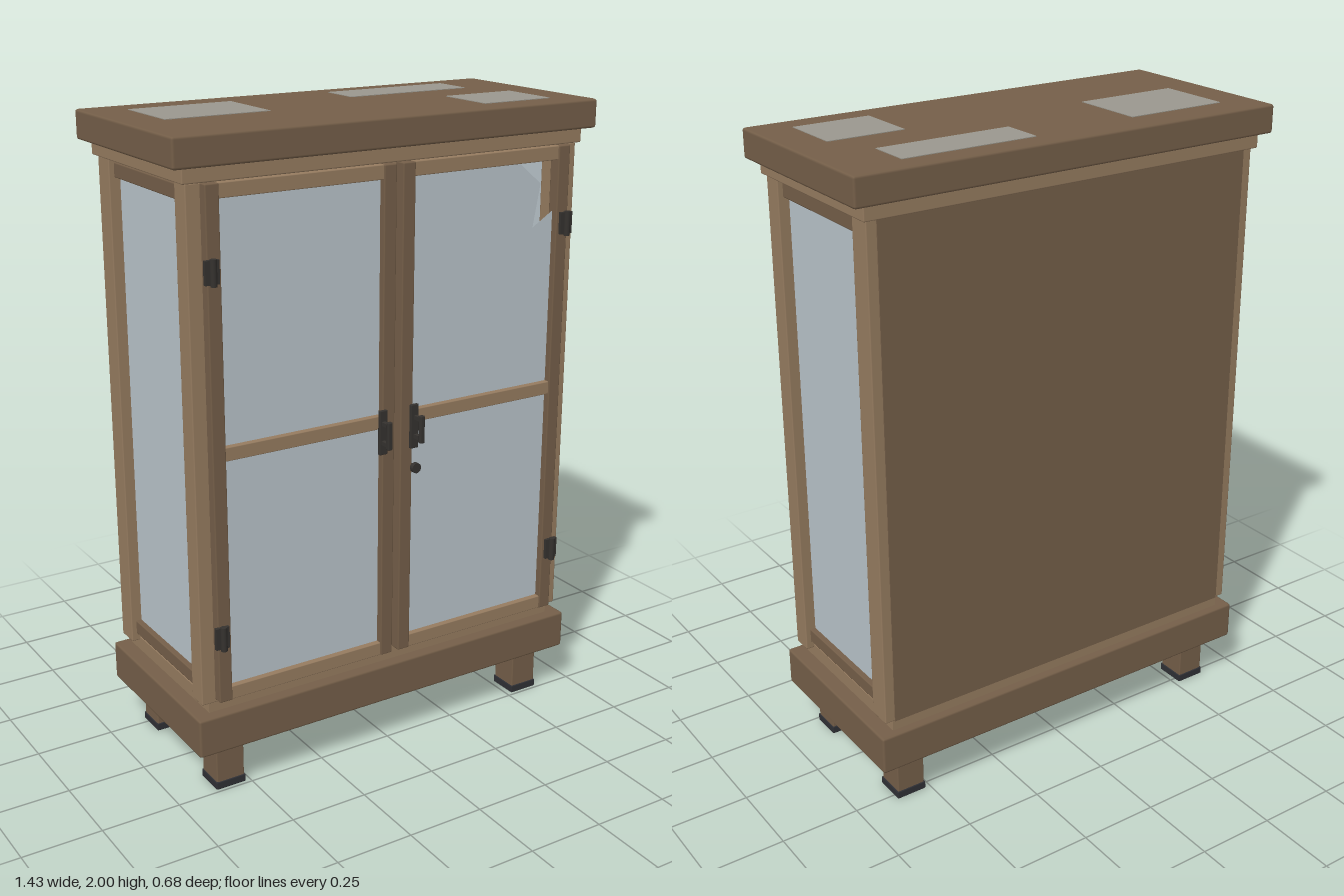
import * as THREE from 'three';
import { RoundedBoxGeometry } from 'three/addons/geometries/RoundedBoxGeometry.js';

const mat = (name, color, side = THREE.FrontSide) => {
  const m = new THREE.MeshStandardMaterial({ color, side });
  m.name = name;
  return m;
};

export function createModel() {
  const darkWood = mat('darkWood', 0x755f49);
  const lightWood = mat('lightWood', 0x967c60);
  const glass = mat('glass', 0xbac5cb, THREE.DoubleSide);
  const dust = mat('dust', 0x9b988f);
  const iron = mat('iron', 0x35322f);
  const rubber = mat('rubber', 0x2f3035);

  const cabinet = new THREE.Group();
  cabinet.name = 'displayCabinet';

  const add = (name, geometry, material, parent = cabinet) => {
    const mesh = new THREE.Mesh(geometry, material);
    mesh.name = name;
    parent.add(mesh);
    return mesh;
  };
  // Box given by its extents; a radius eases the edges
  const box = (name, material, [x0, x1], [y0, y1], [z0, z1], radius = 0, parent = cabinet) => {
    const s = [x1 - x0, y1 - y0, z1 - z0];
    const g = radius ? new RoundedBoxGeometry(...s, 1, radius) : new THREE.BoxGeometry(...s);
    g.translate((x0 + x1) / 2, (y0 + y1) / 2, (z0 + z1) / 2);
    return add(name, g, material, parent);
  };
  // x extent on one side of the cabinet
  const span = (s, a, b) => (s > 0 ? [a, b] : [-b, -a]);

  // Top, mouldings and base
  box('topSlab', darkWood, [-0.717, 0.717], [1.912, 2], [-0.34, 0.295], 0.008);
  box('corniceMoulding', lightWood, [-0.68, 0.68], [1.868, 1.912], [-0.318, 0.27], 0.004);
  box('basePlinth', darkWood, [-0.69, 0.69], [0.155, 0.28], [-0.325, 0.285], 0.008);
  box('baseMoulding', lightWood, [-0.64, 0.64], [0.28, 0.325], [-0.3, 0.25]);

  // Back panel with its paler inner lining, and the shelves
  box('backPanel', darkWood, [-0.635, 0.635], [0.315, 1.868], [-0.307, -0.285]);
  box('backLining', lightWood, [-0.6, 0.6], [0.325, 1.868], [-0.285, -0.275]);
  for (const y of [0.82, 1.34]) {
    box('shelf', lightWood, [-0.61, 0.61], [y - 0.01, y + 0.01], [-0.275, 0.2]);
  }

  // Dusty patches on the top
  for (const [x, z] of [
    [[-0.595, -0.26], [-0.235, 0.005]],
    [[0.1, 0.53], [-0.265, -0.13]],
    [[0.355, 0.6], [0.01, 0.21]],
  ]) box('dustPatch', dust, x, [1.999, 2.002], z);

  // Glass pane in the xy plane from its corner points
  const pane = (name, points, parent) => {
    const shape = new THREE.Shape(points.map(([x, y]) => new THREE.Vector2(x, y)));
    add(name, new THREE.ShapeGeometry(shape), glass, parent).position.z = 0.268;
  };

  for (const s of [-1, 1]) {
    // Corner posts
    box('frontPost', lightWood, span(s, 0.59, 0.667), [0.315, 1.868], [0.195, 0.26], 0.004);
    box('backPost', lightWood, span(s, 0.59, 0.667), [0.315, 1.868], [-0.304, -0.23], 0.004);

    // Glazed sides
    box('sideGlass', glass, span(s, 0.626, 0.632), [0.325, 1.868], [-0.235, 0.2]);
    for (const y of [[0.34, 0.385], [1.81, 1.855]]) {
      box('sideRail', darkWood, span(s, 0.61, 0.65), y, [-0.235, 0.2], 0.004);
    }

    // Legs with pads
    for (const z of [0.19, -0.225]) {
      box('leg', darkWood, span(s, 0.52, 0.614), [0.02, 0.16], [z - 0.047, z + 0.047], 0.004);
      box('footPad', rubber, span(s, 0.517, 0.617), [0, 0.025], [z - 0.05, z + 0.05], 0.003);
    }

    // Door frame
    const door = new THREE.Group();
    door.name = s > 0 ? 'leftDoor' : 'rightDoor';
    cabinet.add(door);
    box('innerStile', darkWood, span(s, 0.011, 0.054), [0.325, 1.868], [0.25, 0.29], 0.004, door);
    box('outerStile', darkWood, span(s, 0.58, 0.623), [0.325, 1.868], [0.25, 0.29], 0.004, door);
    for (const y of [[0.325, 0.368], [1.078, 1.12], [1.825, 1.868]]) {
      box('doorRail', lightWood, span(s, 0.05, 0.585), y, [0.252, 0.286], 0.003, door);
    }

    // Door panes, one with a broken corner
    const [x0, x1] = span(s, 0.05, 0.585);
    pane('lowerPane', [[x0, 0.36], [x1, 0.36], [x1, 1.09], [x0, 1.09]], door);
    const corner = s > 0
      ? [[x1, 1.67], [0.505, 1.622], [0.53, 1.755], [0.44, 1.83]]
      : [[x1, 1.83]];
    pane('upperPane', [[x0, 1.1], [x1, 1.1], ...corner, [x0, 1.83]], door);

    // Hinges
    for (const y of [0.54, 1.63]) {
      box('hingePlate', iron, span(s, 0.59, 0.634), [y - 0.034, y + 0.034], [0.288, 0.3], 0, door);
      const knuckle = new THREE.CylinderGeometry(0.01, 0.01, 0.076, 10);
      add('hingeKnuckle', knuckle, iron, door).position.set(s * 0.611, y, 0.304);
    }

    // Pull handle
    box('handlePlate', iron, span(s, 0.042, 0.07), [1, 1.14], [0.288, 0.3], 0.003, door);
    box('handleBar', iron, span(s, 0.05, 0.066), [1.026, 1.114], [0.324, 0.34], 0.004, door);
    for (const y of [1.04, 1.1]) {
      box('handlePost', iron, span(s, 0.052, 0.064), [y - 0.006, y + 0.006], [0.295, 0.33], 0, door);
    }
  }

  // Lock knob
  const stem = add('lockStem', new THREE.CylinderGeometry(0.008, 0.008, 0.02, 10), iron);
  stem.rotation.x = Math.PI / 2;
  stem.position.set(0.055, 0.94, 0.296);
  const knob = add('lockKnob', new THREE.CylinderGeometry(0.016, 0.016, 0.014, 14), iron);
  knob.rotation.x = Math.PI / 2;
  knob.position.set(0.055, 0.94, 0.308);

  return cabinet;
}
